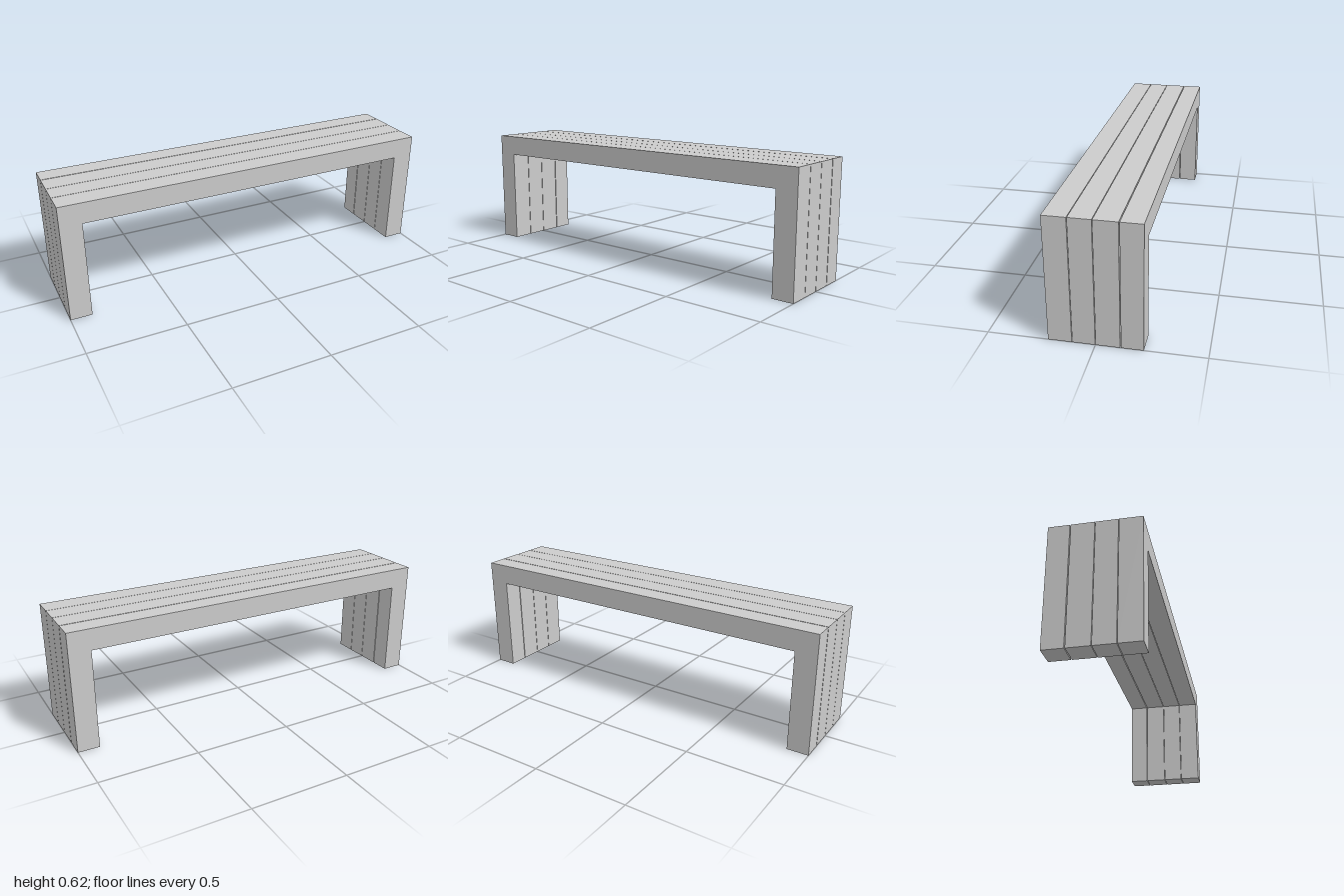
import * as THREE from 'three';

const HEIGHT = 0.617, UNDERSIDE = 0.51, HALF = 1, INNER = 0.89;

// Upside-down U outline shared by every slat: two legs and the seat between them
function archShape() {
  return new THREE.Shape([
    [-HALF, 0], [-INNER, 0], [-INNER, UNDERSIDE], [INNER, UNDERSIDE],
    [INNER, 0], [HALF, 0], [HALF, HEIGHT], [-HALF, HEIGHT],
  ].map(([x, y]) => new THREE.Vector2(x, y)));
}

export function createModel() {
  const bench = new THREE.Group();
  bench.name = 'bench';
  const material = new THREE.MeshStandardMaterial({ color: 0xcccccc, flatShading: true });
  const shape = archShape();

  // Four slats side by side with narrow gaps: [name, back z, front z]
  const slats = [
    ['backSlat', -0.217, -0.1155],
    ['backMiddleSlat', -0.1115, -0.0015],
    ['frontMiddleSlat', 0.001, 0.1055],
    ['frontSlat', 0.108, 0.217],
  ];
  for (const [name, back, front] of slats) {
    const geometry = new THREE.ExtrudeGeometry(shape, { depth: front - back, bevelEnabled: false });
    const slat = new THREE.Mesh(geometry, material);
    slat.name = name;
    slat.position.z = back;
    bench.add(slat);
  }
  return bench;
}
